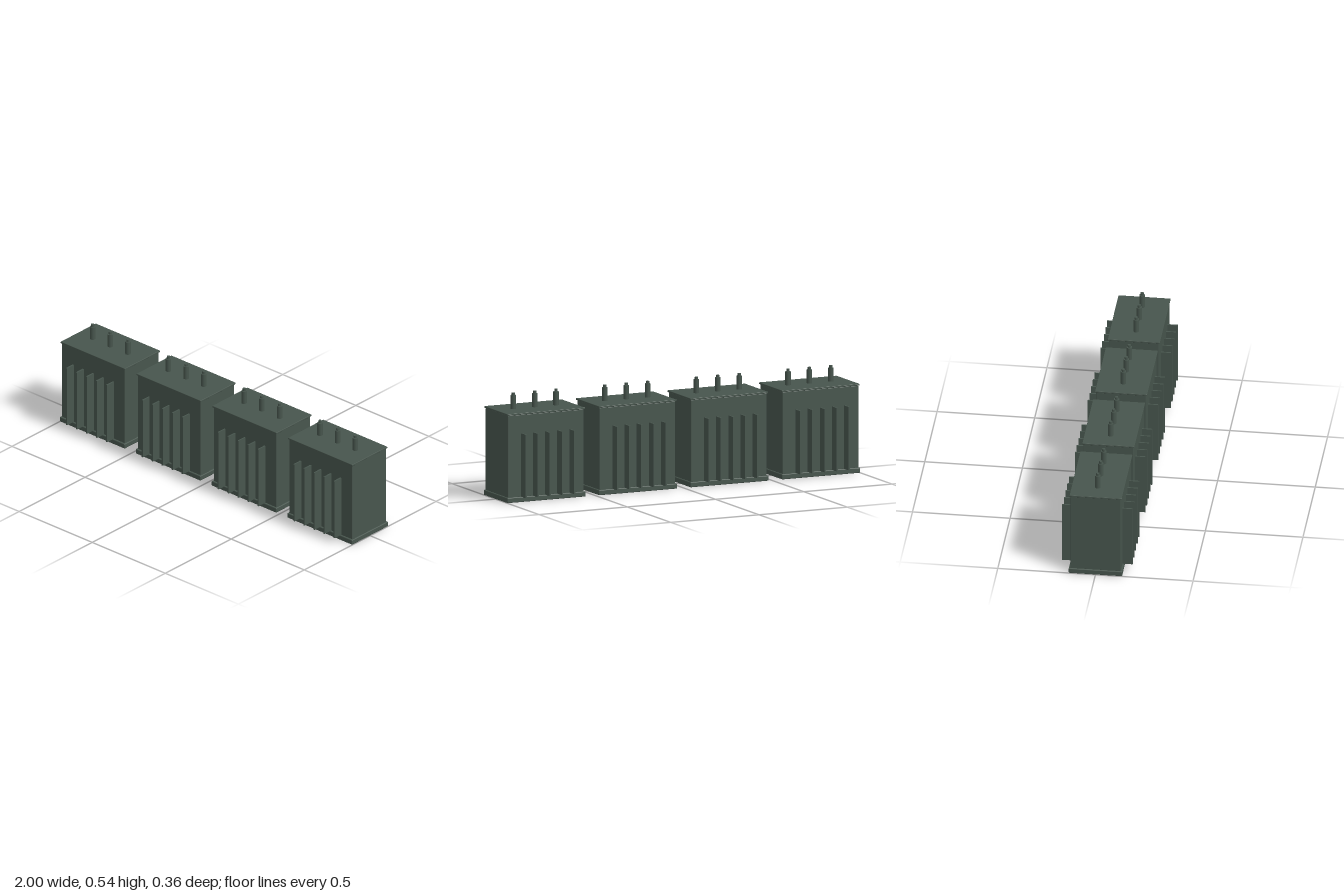
import * as THREE from 'three';
import { RoundedBoxGeometry } from 'three/addons/geometries/RoundedBoxGeometry.js';

const paint = new THREE.MeshStandardMaterial({ color: 0x47554d });
paint.name = 'grey green paint';

function add(parent, name, geometry, x, y, z) {
  const mesh = new THREE.Mesh(geometry, paint);
  mesh.name = name;
  mesh.position.set(x, y, z);
  parent.add(mesh);
}

// Box with softly eased edges
const eased = (w, h, d, r) => new RoundedBoxGeometry(w, h, d, 2, r);

// Shared shapes for one transformer
const baseGeo = eased(0.444, 0.027, 0.274, 0.004);
const tankGeo = eased(0.43, 0.425, 0.257, 0.003);
const lidGeo = eased(0.44, 0.009, 0.267, 0.002);
const finGeo = new THREE.BoxGeometry(0.008, 0.327, 0.056);
const bushingGeo = new THREE.CylinderGeometry(0.0143, 0.0143, 0.072, 16);
const terminalGeo = new THREE.CylinderGeometry(0.0085, 0.0085, 0.015, 16);

function makeTransformer() {
  const unit = new THREE.Group();
  unit.name = 'transformer';
  add(unit, 'base', baseGeo, 0, 0.0135, 0);
  add(unit, 'tank', tankGeo, 0, 0.2375, 0);
  add(unit, 'lid', lidGeo, 0, 0.4545, 0);

  // Five cooling fins on the front and on the back
  for (const side of [1, -1]) {
    for (let i = -2; i <= 2; i++) {
      add(unit, 'coolingFin', finGeo, i * 0.0685, 0.1905, side * 0.1525);
    }
  }

  // Three bushings with terminals on the lid
  for (let i = -1; i <= 1; i++) {
    add(unit, 'bushing', bushingGeo, i * 0.121, 0.493, 0);
    add(unit, 'terminal', terminalGeo, i * 0.121, 0.5345, 0);
  }
  return unit;
}

export function createModel() {
  const model = new THREE.Group();
  model.name = 'transformerRow';
  for (let i = 0; i < 4; i++) {
    const unit = makeTransformer();
    unit.position.x = (i - 1.5) * 0.5187;
    model.add(unit);
  }
  return model;
}
